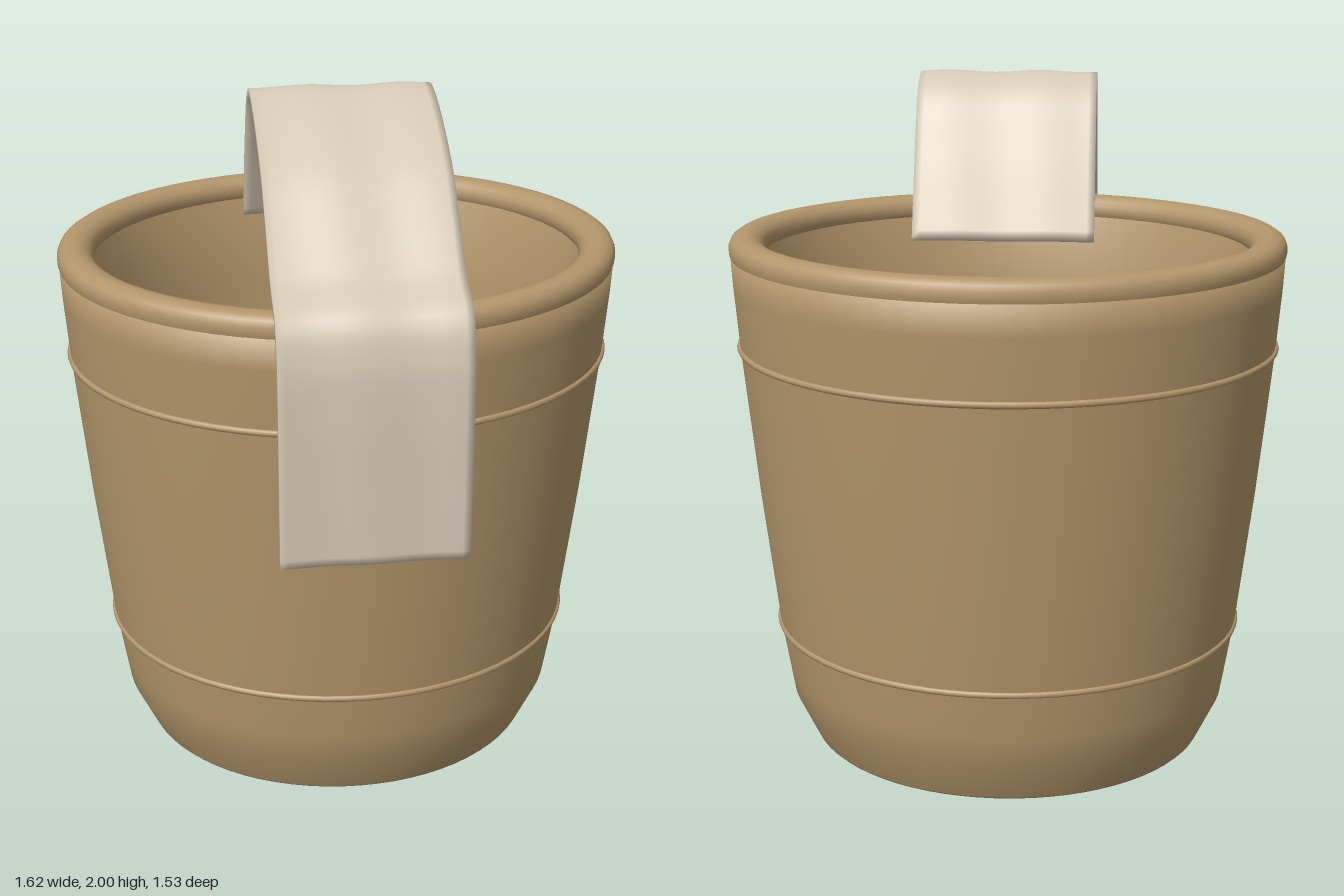
import * as THREE from 'three';
import { mergeVertices } from 'three/addons/utils/BufferGeometryUtils.js';

const CENTRE_Z = -0.028; // bucket sits slightly behind the draped strap
const OVAL = 0.907; // depth to width ratio

const lathe = (pts, material, name) => {
  const geo = new THREE.LatheGeometry(pts.map(([r, y]) => new THREE.Vector2(r, y)), 72);
  const mesh = new THREE.Mesh(geo, material);
  mesh.name = name;
  return mesh;
};

export function createModel() {
  const wood = new THREE.MeshStandardMaterial({ color: 0xb3966b });
  wood.name = 'tan wood';
  const cloth = new THREE.MeshStandardMaterial({ color: 0xd6cab5 });
  cloth.name = 'cream cloth';

  const model = new THREE.Group();
  const bucket = new THREE.Group();
  bucket.name = 'bucket';
  bucket.scale.z = OVAL;
  bucket.position.z = CENTRE_Z;
  model.add(bucket);

  // Tapered shell: underside, outer wall, inner wall and floor
  bucket.add(lathe([
    [0, 0], [0.3, 0], [0.592, 0], [0.6, 0.008], [0.662, 0.14], [0.675, 0.22], [0.7, 0.38],
    [0.745, 0.78], [0.785, 1.2], [0.8, 1.4], [0.805, 1.5],
    [0.716, 1.5], [0.7, 1.2], [0.66, 0.8], [0.61, 0.38], [0.57, 0.2], [0.5, 0.12], [0.3, 0.1], [0, 0.1],
  ], wood, 'shell'));

  // Rounded rim
  bucket.add(lathe([
    [0.803, 1.485], [0.808, 1.5], [0.808, 1.52], [0.8, 1.537], [0.785, 1.547], [0.76, 1.552],
    [0.735, 1.547], [0.717, 1.536], [0.707, 1.52], [0.705, 1.5], [0.713, 1.485],
  ], wood, 'rim'));

  // Thin raised hoops
  for (const [y, r, name] of [[1.22, 0.786, 'upperHoop'], [0.367, 0.697, 'lowerHoop']]) {
    const hoop = new THREE.Mesh(new THREE.TorusGeometry(r, 0.01, 8, 72).rotateX(Math.PI / 2), wood);
    hoop.position.y = y;
    hoop.name = name;
    bucket.add(hoop);
  }

  // Cloth strap: a thin slab bent along a (z, y) path over the rim
  const path = new THREE.CatmullRomCurve3([
    [0.746, 0.88], [0.747, 1.1], [0.746, 1.3], [0.737, 1.44], [0.705, 1.54], [0.595, 1.61], [0.5, 1.71],
    [0.39, 1.825], [0.245, 1.915], [0.13, 1.965], [0.04, 1.982], [-0.045, 1.942], [-0.135, 1.8],
    [-0.25, 1.56],
  ].map(([z, y]) => new THREE.Vector3(0, y, z)));
  const geo = new THREE.BoxGeometry(0.508, 1, 0.03, 24, 90, 1);
  const pos = geo.attributes.position;
  for (let i = 0; i < pos.count; i++) {
    const x = pos.getX(i);
    const t = pos.getY(i) + 0.5;
    const p = path.getPointAt(t);
    const tan = path.getTangentAt(t);
    const off = pos.getZ(i) + 0.003 * Math.cos(x * 24 + t * 3); // slight ripple across the width
    pos.setXYZ(i, x, p.y - tan.z * off, p.z + tan.y * off);
  }
  geo.deleteAttribute('uv');
  geo.deleteAttribute('normal');
  const strapGeo = mergeVertices(geo, 1e-4); // shared corners give soft edges
  strapGeo.computeVertexNormals();
  const strap = new THREE.Mesh(strapGeo, cloth);
  strap.name = 'strap';
  model.add(strap);

  return model;
}
